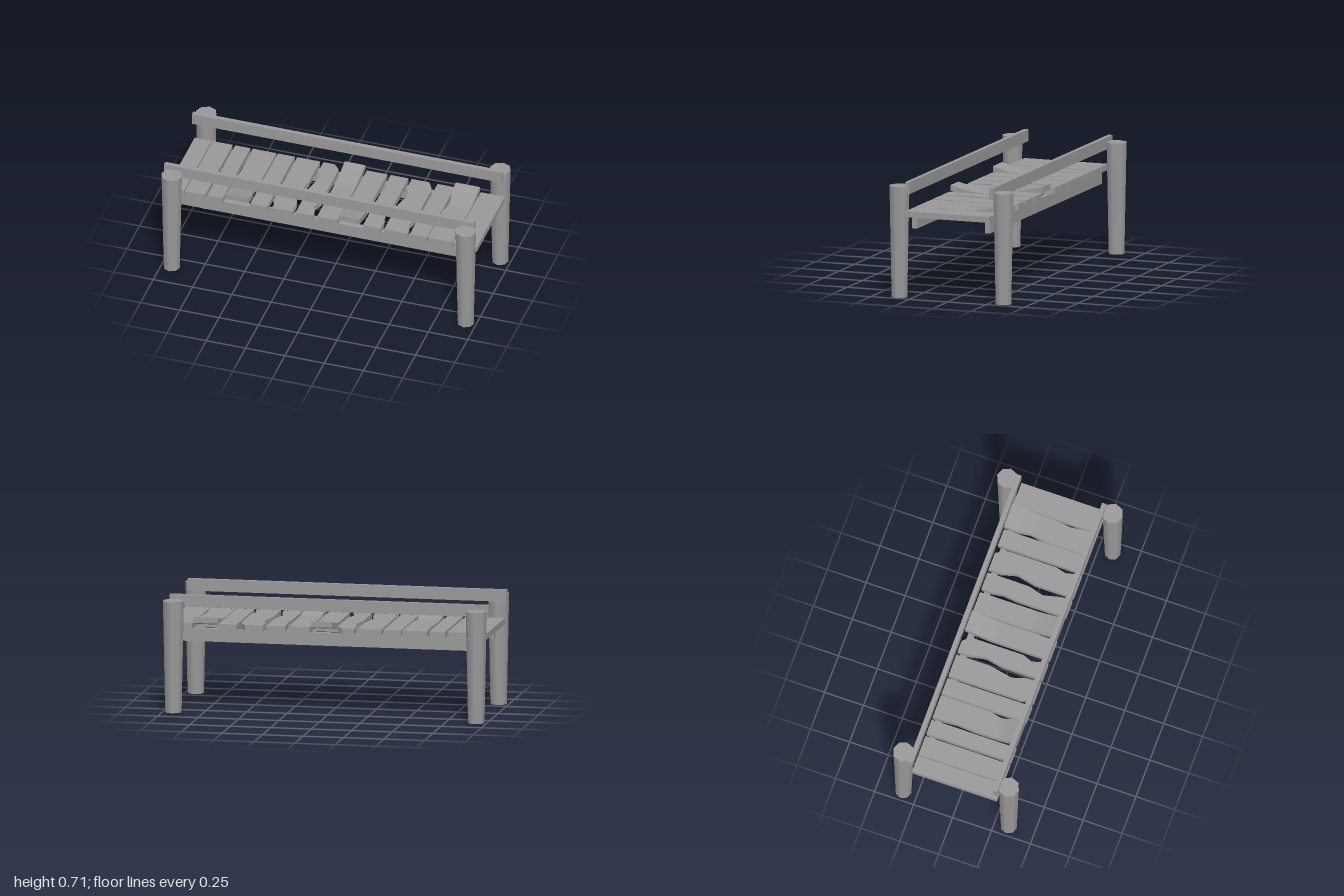
import * as THREE from 'three';

const material = new THREE.MeshStandardMaterial({ color: 0x999999 });

// Linear interpolation through [z, offset] points; zero outside them
function edgeOffset(points, z) {
  for (let i = 0; i + 1 < points.length; i++) {
    const [z0, a] = points[i], [z1, b] = points[i + 1];
    if (z >= z0 && z <= z1) return a + (b - a) * (z - z0) / (z1 - z0);
  }
  return 0;
}

// Plank with chipped long edges and an optional end curling up
function plankGeometry({ x0, x1, left = [], right = [], curl = 0, start = 0.1 }) {
  const zBack = -0.265, zFront = 0.28, bottom = 0.501, thick = 0.036;
  const geo = new THREE.BoxGeometry(1, thick, zFront - zBack, 1, 1, 27);
  geo.translate(0, bottom + thick / 2, (zFront + zBack) / 2);
  const p = geo.attributes.position;
  for (let i = 0; i < p.count; i++) {
    const z = p.getZ(i);
    const x = p.getX(i) < 0 ? x0 + edgeOffset(left, z) : x1 + edgeOffset(right, z);
    const end = curl > 0 ? zFront : -zBack;
    const t = Math.max(0, (z * curl - start) / (end - start));
    p.setX(i, x);
    p.setY(i, p.getY(i) + (curl ? 0.037 * Math.pow(t, 1.25) : 0));
  }
  geo.computeVertexNormals();
  return geo;
}

const planks = [
  { x0: -0.985, x1: -0.877 },
  { x0: -0.87, x1: -0.743 },
  { x0: -0.727, x1: -0.631 },
  { x0: -0.615, x1: -0.465, curl: 1, start: 0.14,
    left: [[-0.22, 0], [-0.1, 0.008], [0, 0]], right: [[0.06, 0], [0.13, -0.016], [0.22, 0]] },
  { x0: -0.455, x1: -0.348 },
  { x0: -0.332, x1: -0.187,
    left: [[0.2, 0], [0.24, 0.015], [0.28, 0.02]],
    right: [[-0.04, 0], [0.1, -0.028], [0.19, 0]] },
  { x0: -0.166, x1: -0.053,
    left: [[-0.19, 0], [-0.09, 0.022], [0.02, 0]],
    right: [[-0.27, -0.045], [-0.22, 0], [0.12, 0], [0.18, -0.024], [0.24, -0.005], [0.28, 0]] },
  { x0: -0.03, x1: 0.1, curl: -1, start: 0.08 },
  { x0: 0.11, x1: 0.24, curl: 1, start: 0.1 },
  { x0: 0.262, x1: 0.375,
    left: [[-0.2, 0], [-0.12, 0.01], [-0.04, 0]], right: [[0, 0], [0.1, -0.027], [0.21, 0]] },
  { x0: 0.396, x1: 0.545,
    left: [[-0.19, 0], [-0.09, 0.027], [0.03, 0]],
    right: [[-0.27, -0.04], [-0.2, 0], [0.12, 0], [0.18, -0.018], [0.25, 0]] },
  { x0: 0.56, x1: 0.67 },
  { x0: 0.675, x1: 0.83, curl: -1, start: 0.08,
    left: [[-0.19, 0], [-0.1, 0.02], [0, 0]], right: [[0, 0], [0.11, -0.015], [0.22, 0]] },
  { x0: 0.835, x1: 0.987 },
];

export function createModel() {
  const model = new THREE.Group();
  model.name = 'footbridge';
  const add = (name, geo, x = 0, y = 0, z = 0) => {
    const mesh = new THREE.Mesh(geo, material);
    mesh.name = name;
    mesh.position.set(x, y, z);
    model.add(mesh);
  };

  // Tapered posts at the corners
  const post = new THREE.CylinderGeometry(0.065, 0.051, 0.684, 8);
  for (const x of [-0.935, 0.935])
    for (const z of [-0.338, 0.338]) add('post', post, x, 0.342, z);

  // Handrails and the beams carrying the deck
  const rail = new THREE.BoxGeometry(1.97, 0.073, 0.028);
  const beam = new THREE.BoxGeometry(1.85, 0.078, 0.035);
  for (const s of [-1, 1]) {
    add('handrail', rail, -0.015, 0.677, s * 0.273);
    add('beam', beam, -0.005, 0.462, s * 0.2375 + 0.0085);
  }

  // Deck of worn planks
  for (const plank of planks) add('plank', plankGeometry(plank));

  return model;
}
